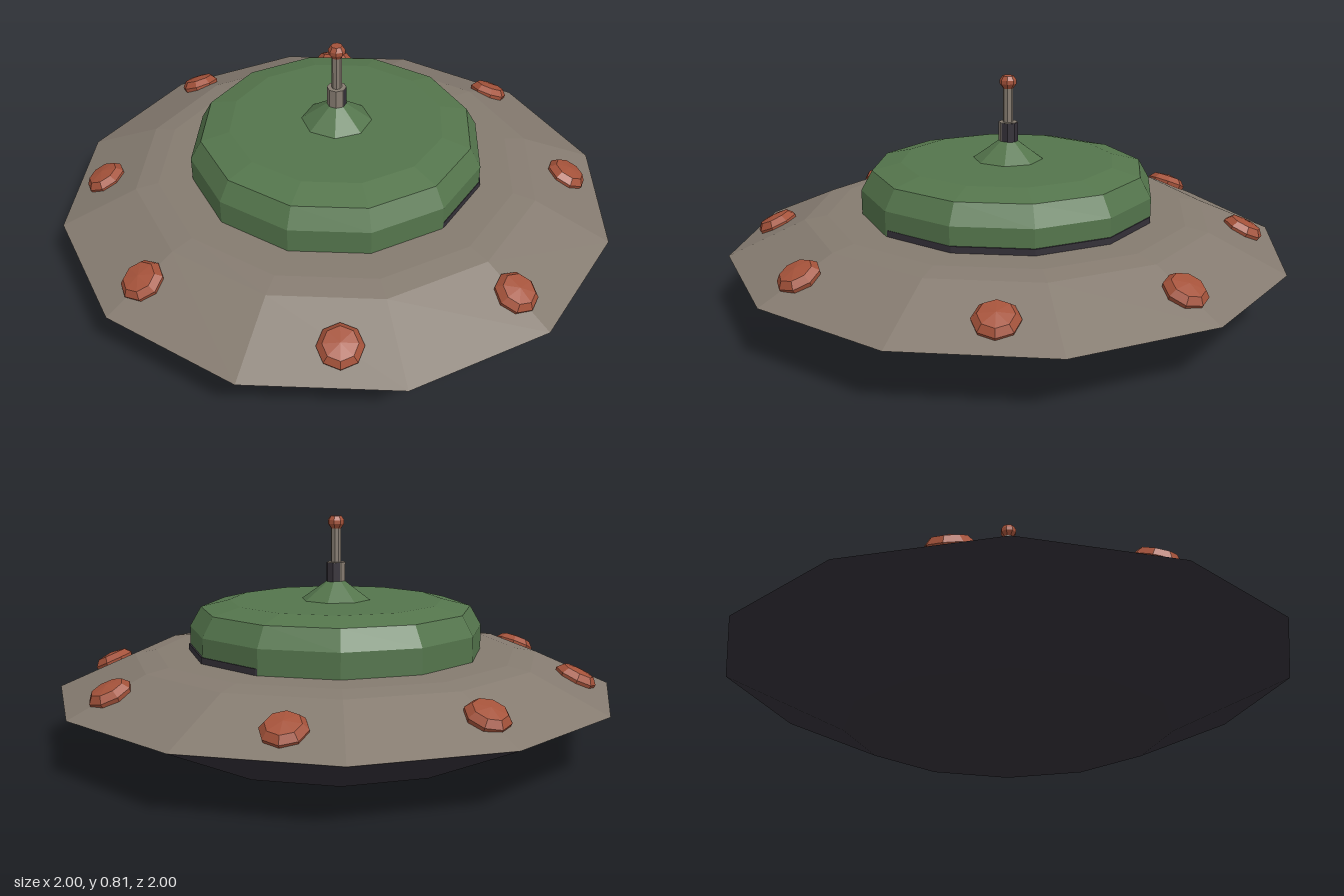
import * as THREE from 'three';

const material = (name, color) => {
  const m = new THREE.MeshStandardMaterial({ color, flatShading: true });
  m.name = name;
  return m;
};

// Faceted solid of revolution from [radius, height] points, bottom to top
function turned(name, points, sides, mat) {
  const profile = points.map(([r, y]) => new THREE.Vector2(r, y));
  const mesh = new THREE.Mesh(new THREE.LatheGeometry(profile, sides), mat);
  mesh.name = name;
  return mesh;
}

export function createModel() {
  const model = new THREE.Group();
  model.name = 'saucer';
  const hull = material('warm grey hull', 0x857b70);
  const dark = material('dark metal', 0x343038);
  const green = material('green dome', 0x54754c);
  const red = material('rust red lamps', 0xa4523a);

  // Saucer body
  model.add(turned('underside', [[0, 0], [0.57, 0], [1, 0.2]], 12, dark));
  model.add(turned('upperHull', [[1, 0.2], [0.73, 0.32], [0.65, 0.333], [0, 0.333]], 12, hull));

  // Dome with its slightly off-centre dark seal
  model.add(turned('dome', [[0.527, 0.32], [0.527, 0.42], [0.487, 0.49], [0.385, 0.515], [0, 0.517]], 12, green));
  const seal = turned('domeSeal', [[0.5225, 0.325], [0.5225, 0.355], [0, 0.355]], 12, dark);
  seal.position.set(0.0092, 0, 0.004);
  model.add(seal);

  // Antenna
  model.add(turned('antennaCone', [[0.13, 0.513], [0.03, 0.585], [0, 0.585]], 8, green));
  model.add(turned('antennaCollar', [[0.034, 0.575], [0.034, 0.65], [0, 0.65]], 8, hull));
  const liner = turned('collarLiner', [[0.033, 0.575], [0.033, 0.648], [0, 0.648]], 8, dark);
  liner.position.x = 0.003;
  model.add(liner);
  model.add(turned('antennaRod', [[0.018, 0.64], [0.018, 0.78]], 8, hull));
  model.add(turned('antennaTip', [[0, 0.77], [0.018, 0.77], [0.03, 0.787], [0.03, 0.8], [0.02, 0.815], [0, 0.815]], 8, red));

  // Ring of lamps leaning with the hull slope
  for (let i = 0; i < 8; i++) {
    const pivot = new THREE.Group();
    pivot.name = 'lampMount' + (i + 1);
    // Odd lamps sit a little off the exact diagonal
    pivot.rotation.y = i * Math.PI / 4 + (i % 2 ? 0.06 : 0);
    const lamp = turned('lamp', [[0.066, -0.03], [0.075, 0.012], [0.056, 0.034], [0, 0.042]], 8, red);
    lamp.position.set(0, i % 2 ? 0.252 : 0.262, 0.85);
    lamp.rotation.x = 0.42;
    pivot.add(lamp);
    model.add(pivot);
  }
  return model;
}
